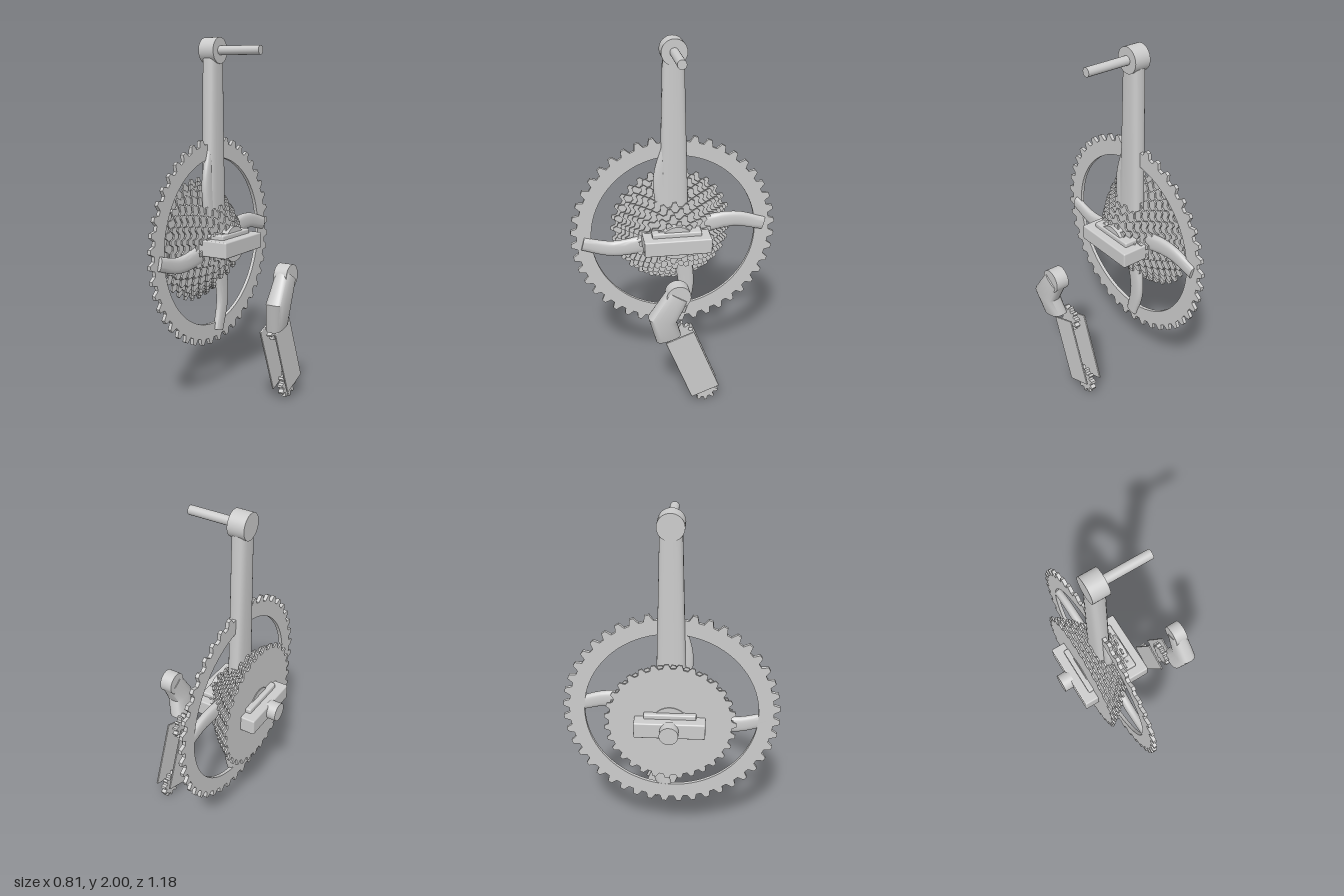
import * as THREE from 'three';
import { toCreasedNormals } from 'three/addons/utils/BufferGeometryUtils.js';
import { RoundedBoxGeometry } from 'three/addons/geometries/RoundedBoxGeometry.js';

const AXIS_Y = 0.87;

export function createModel() {
  const group = new THREE.Group();
  const mat = new THREE.MeshStandardMaterial({ color: 0xcccccc });

  function add(name, geo, x = 0, y = 0, z = 0) {
    const mesh = new THREE.Mesh(geo, mat);
    mesh.name = name;
    mesh.position.set(x, y, z);
    group.add(mesh);
    return mesh;
  }

  // Cylinder lying along x from x0 to x1
  function axle(name, r, x0, x1, y, z = 0) {
    const geo = new THREE.CylinderGeometry(r, r, x1 - x0, 32).rotateZ(Math.PI / 2);
    return add(name, geo, (x0 + x1) / 2, y, z);
  }

  // Toothed disc facing +x, with an optional round opening
  function sprocket(name, teeth, r, depth, thick, x, y, z = 0, hole = 0) {
    const root = r - depth;
    const profile = [[0, root], [0.17, root], [0.36, r], [0.64, r], [0.83, root]];
    const pts = [];
    for (let i = 0; i < teeth; i++) {
      for (const [f, rad] of profile) {
        const a = ((i + f) / teeth) * Math.PI * 2;
        pts.push(new THREE.Vector2(Math.cos(a) * rad, Math.sin(a) * rad));
      }
    }
    const shape = new THREE.Shape(pts);
    if (hole) shape.holes.push(new THREE.Path().absarc(0, 0, hole, 0, Math.PI * 2, true));
    const geo = new THREE.ExtrudeGeometry(shape, { depth: thick, bevelEnabled: false, curveSegments: 40 });
    geo.translate(0, 0, -thick / 2).rotateY(Math.PI / 2);
    return add(name, geo, x, y, z);
  }

  // Loft of superellipse sections [x, y, z, halfWidth, halfThickness] along a smooth or straight path
  function limb(name, sections, power = 1, sides = 24) {
    const pos = [], idx = [], n = sections.length;
    const ringPoints = [];
    sections.forEach((s, i) => {
      const a = sections[Math.max(i - 1, 0)], b = sections[Math.min(i + 1, n - 1)];
      const t = new THREE.Vector2(a[2] - b[2], b[1] - a[1]).normalize();
      const ring = [];
      for (let j = 0; j < sides; j++) {
        const ang = (j / sides) * Math.PI * 2, c = Math.cos(ang), d = Math.sin(ang);
        const w = Math.sign(c) * Math.abs(c) ** power * s[3];
        const h = Math.sign(d) * Math.abs(d) ** power * s[4];
        ring.push(s[0] + h, s[1] + t.x * w, s[2] + t.y * w);
      }
      pos.push(...ring);
      ringPoints.push(ring);
    });
    for (let i = 0; i < n - 1; i++) {
      for (let j = 0; j < sides; j++) {
        const k = (j + 1) % sides, p = i * sides, q = p + sides;
        idx.push(p + j, p + k, q + j, p + k, q + k, q + j);
      }
    }
    // End caps
    for (const e of [0, n - 1]) {
      const base = pos.length / 3;
      pos.push(...ringPoints[e], ...sections[e].slice(0, 3));
      for (let j = 0; j < sides; j++) {
        const k = (j + 1) % sides;
        idx.push(base + sides, base + (e ? j : k), base + (e ? k : j));
      }
    }
    const geo = new THREE.BufferGeometry();
    geo.setAttribute('position', new THREE.Float32BufferAttribute(pos, 3));
    geo.setIndex(idx);
    return add(name, toCreasedNormals(geo, 0.7));
  }

  // Large chainring
  sprocket('chainring', 44, 0.592, 0.034, 0.02, -0.155, AXIS_Y, 0, 0.475);

  // Four curved spider arms, thinning towards the ring
  const armCurve = new THREE.CatmullRomCurve3([
    new THREE.Vector3(0.05, 0.01, 0), new THREE.Vector3(0.2, 0.055, 0),
    new THREE.Vector3(0.36, 0.07, 0), new THREE.Vector3(0.525, 0.03, 0),
  ]);
  for (let k = 0; k < 4; k++) {
    const a = (k * Math.PI) / 2, c = Math.cos(a), s = Math.sin(a);
    const sections = armCurve.getPoints(14).map((p, i) => {
      const f = i / 14;
      return [-0.14 - 0.005 * f, AXIS_Y + p.x * s + p.y * c, -(p.x * c - p.y * s), 0.058 - 0.02 * f, 0.027 - 0.007 * f];
    });
    limb('spiderArm', sections, 0.75);
  }

  // Cassette of eleven cogs
  for (let i = 0; i < 11; i++) {
    const f = i / 10;
    const r = 0.355 - 0.155 * f - 0.075 * f * f;
    sprocket('cassetteCog', Math.round(r * 86), r, 0.026, 0.01, -0.27 + 0.0236 * i, AXIS_Y);
  }
  axle('cassetteHub', 0.1, -0.28, -0.01, AXIS_Y);

  // Crank arm with its end boss and spindle
  limb('crankArm', [
    [-0.153, 0.87, 0, 0.083, 0.042], [-0.153, 1.1, 0, 0.08, 0.042],
    [-0.153, 1.5, 0, 0.069, 0.042], [-0.153, 1.93, 0, 0.058, 0.043],
  ], 0.65);
  axle('crankBoss', 0.071, -0.2, -0.105, 1.929);
  axle('pedalSpindle', 0.025, -0.11, 0.15, 1.929);

  // Flat pedal block with raised centre plate and side stub
  add('pedalBody', new RoundedBoxGeometry(0.405, 0.09, 0.38, 3, 0.008), -0.152, 0.868, 0);
  add('pedalPlate', new RoundedBoxGeometry(0.305, 0.04, 0.28, 3, 0.008), -0.152, 0.918, 0);
  axle('pedalStub', 0.051, -0.405, -0.34, AXIS_Y);

  // Derailleur knuckle and bent body
  axle('derailleurKnuckle', 0.065, 0.302, 0.378, 0.745, 0.05);
  limb('derailleurBody', [
    [0.342, 0.745, 0.05, 0.064, 0.045], [0.345, 0.605, 0.135, 0.077, 0.055],
    [0.318, 0.472, 0.1, 0.07, 0.048],
  ], 0.7);

  // Cage plates, tilted in the side plane
  for (const x of [0.22, 0.312]) {
    const plate = add('cagePlate', new RoundedBoxGeometry(0.01, 0.4, 0.168, 2, 0.004), x, 0.27, -0.038);
    plate.rotation.x = Math.atan2(0.145, 0.37);
  }

  // Guide pulleys
  sprocket('upperPulley', 11, 0.077, 0.02, 0.03, 0.266, 0.45, 0.03);
  sprocket('lowerPulley', 11, 0.082, 0.02, 0.03, 0.266, 0.081, -0.11);

  return group;
}
